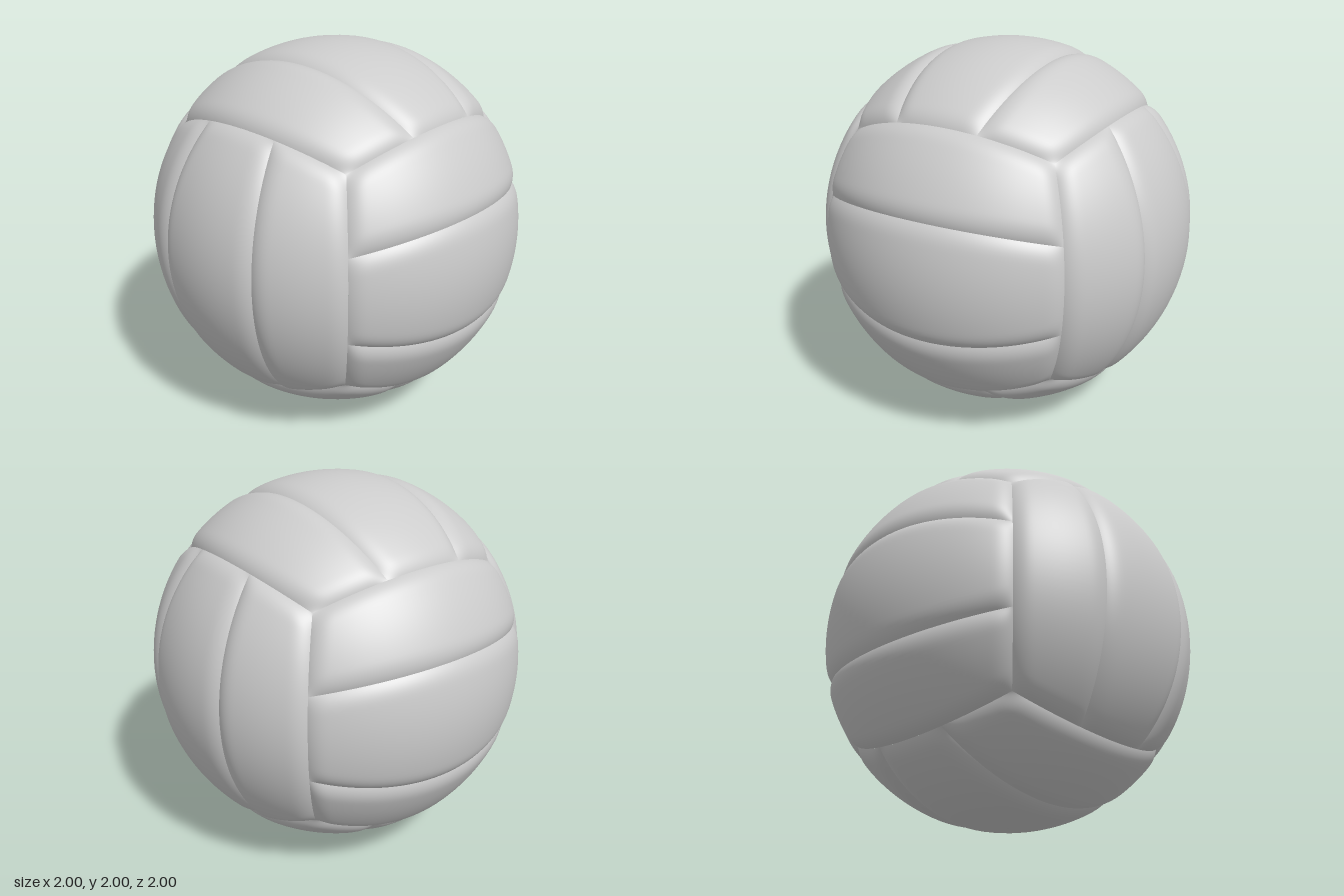
import * as THREE from 'three';

const SEAM_DEPTH = 0.02;   // how far the seams sink below the ball surface
const SEAM_WIDTH = 0.1;    // width of the rounded panel border
const OUTER_PUFF = 0.004;  // the two outer strips of each face bulge a little more

// Rounded rise from 0 at the seam to 1 on the panel
function rise(distance) {
  const t = THREE.MathUtils.clamp(distance / SEAM_WIDTH, 0, 1);
  return 1 - (1 - t) ** 2.5;
}

// One padded strip of a cube-sphere face: n is outward, a runs along the strip, b across it
function panelGeometry(n, a, b, row) {
  const geo = new THREE.PlaneGeometry(1, 1, 56, 32);
  const pos = geo.attributes.position;
  const low = (row * 2 - 1) / 3, high = (row * 2 + 1) / 3;
  const p = new THREE.Vector3();
  for (let i = 0; i < pos.count; i++) {
    // sine spacing gathers the grid lines near the seams
    const u = Math.sin(Math.PI * pos.getX(i));
    const v = (row * 2 + Math.sin(Math.PI * pos.getY(i))) / 3;
    p.copy(n).addScaledVector(a, u).addScaledVector(b, v);
    const len = p.length();
    // distances to the great circles that bound the strip
    const end = (1 - Math.abs(u)) / Math.SQRT2 / len;
    const side = Math.min((v - low) / Math.hypot(1, low), (high - v) / Math.hypot(1, high)) / len;
    const s = rise(end) * rise(side);
    const r = 1 - SEAM_DEPTH * (1 - s) + Math.abs(row) * OUTER_PUFF * s;
    p.multiplyScalar(r / len);
    pos.setXYZ(i, p.x, p.y, p.z);
  }
  geo.computeVertexNormals();
  return geo;
}

export function createModel() {
  const ball = new THREE.Group();
  ball.name = 'ball';
  const material = new THREE.MeshStandardMaterial({ color: 0xcccccc });
  const X = new THREE.Vector3(1, 0, 0), Y = new THREE.Vector3(0, 1, 0), Z = new THREE.Vector3(0, 0, 1);

  // Strip direction turns from face to face; opposite faces match
  const faces = [
    ['front', 'back', Z, X, Y],
    ['left', 'right', X, Y, Z],
    ['top', 'bottom', Y, Z, X],
  ];
  for (const [name, opposite, n, a, b] of faces) {
    for (const sign of [1, -1]) {
      const face = new THREE.Group();
      face.name = (sign > 0 ? name : opposite) + 'Panels';
      for (const row of [-1, 0, 1]) {
        const geo = panelGeometry(n.clone().multiplyScalar(sign), a.clone().multiplyScalar(sign), b, row);
        const panel = new THREE.Mesh(geo, material);
        panel.name = row === 0 ? 'middlePanel' : 'outerPanel';
        face.add(panel);
      }
      ball.add(face);
    }
  }
  ball.position.y = 1;

  const model = new THREE.Group();
  model.name = 'volleyball';
  model.add(ball);
  return model;
}
